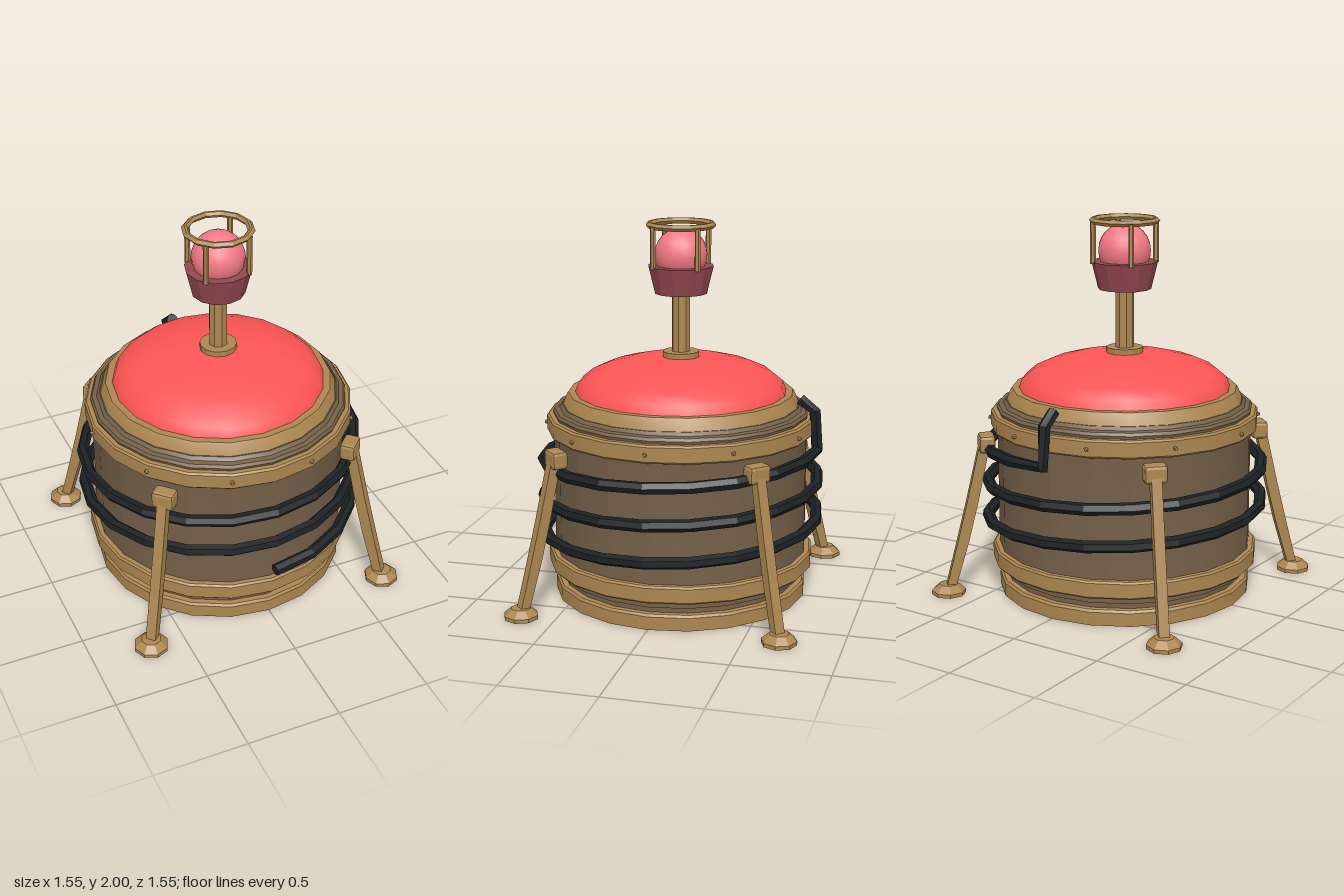
import * as THREE from 'three';
import { toCreasedNormals } from 'three/addons/utils/BufferGeometryUtils.js';
import { RoundedBoxGeometry } from 'three/addons/geometries/RoundedBoxGeometry.js';

const SIDES = 20;
const paint = (color, flatShading = false) => new THREE.MeshStandardMaterial({ color, flatShading });
const brass = paint(0xac8750);
const brassFlat = paint(0xac8750, true);
const brown = paint(0x756149);
const red = paint(0xff5555);
const rubber = paint(0x1c2124, true);
const cupRed = paint(0x934850, true);
const bulbPink = paint(0xf47a85);
rubber.side = THREE.DoubleSide;

// Straight-segment path whose corners fall exactly on the tube rings
class Polyline extends THREE.Curve {
  constructor(points) { super(); this.points = points; }
  getPoint(t, target = new THREE.Vector3()) {
    const n = this.points.length - 1;
    const i = Math.min(Math.floor(t * n + 1e-6), n - 1);
    return target.lerpVectors(this.points[i], this.points[i + 1], t * n - i);
  }
  getPointAt(t, target) { return this.getPoint(t, target); }
  getTangentAt(t, target) { return this.getTangent(t, target); }
}

export function createModel() {
  const model = new THREE.Group();

  function add(name, geometry, material, x = 0, y = 0, z = 0, parent = model) {
    const mesh = new THREE.Mesh(geometry, material);
    mesh.name = name;
    mesh.position.set(x, y, z);
    parent.add(mesh);
    return mesh;
  }

  function turned(name, profile, material) {
    const points = profile.map(([r, y]) => new THREE.Vector2(r, y));
    return add(name, toCreasedNormals(new THREE.LatheGeometry(points, SIDES), 0.42), material);
  }

  // Tank: brown core with brass base, bands and rim
  turned('tankBody', [[0.64, 0.07], [0.64, 0.11], [0.66, 0.115], [0.66, 0.145], [0.68, 0.16], [0.68, 0.985],
    [0.685, 1.0], [0.675, 1.015], [0.65, 1.02], [0.635, 1.037], [0.56, 1.04]], brown);
  turned('base', [[0, 0], [0.68, 0], [0.68, 0.07], [0.67, 0.083], [0.6, 0.083]], brass);
  for (const [name, y0, y1] of [['lowerBand', 0.155, 0.248], ['upperBand', 0.89, 0.985]]) {
    turned(name, [[0.66, y0], [0.705, y0], [0.715, y0 + 0.01], [0.715, y1 - 0.01], [0.705, y1], [0.66, y1]], brass);
  }
  turned('rim', [[0.6, 1.035], [0.63, 1.035], [0.607, 1.09], [0.6, 1.1], [0.54, 1.1]], brass);

  // Shallow dome
  const domeProfile = [];
  for (let i = 0; i <= 6; i++) {
    const a = (i / 6) * Math.PI / 2;
    domeProfile.push(new THREE.Vector2(0.565 * Math.cos(a), 1.095 + 0.195 * Math.sin(a)));
  }
  add('dome', new THREE.LatheGeometry(domeProfile, SIDES), red);

  // Bolts around the upper band
  const boltGeometry = new THREE.CylinderGeometry(0.008, 0.014, 0.02, 6).rotateX(Math.PI / 2);
  for (let i = 0; i < 10; i++) {
    const a = (18 + 36 * i) * Math.PI / 180;
    add('bolt', boltGeometry, brassFlat, 0.718 * Math.sin(a), 0.937, 0.718 * Math.cos(a)).rotation.y = a;
  }

  // Hose: two and a half turns, then a bent end reaching over the rim at the back
  const path = [];
  for (let i = 0; i <= 50; i++) {
    const a = (i / SIDES) * Math.PI * 2;
    path.push(new THREE.Vector3(0.74 * Math.sin(a), 0.332 + 0.49 * i / 50, 0.74 * Math.cos(a)));
  }
  path.push(new THREE.Vector3(0, 1.03, -0.725), new THREE.Vector3(0, 1.09, -0.645));
  add('hose', new THREE.TubeGeometry(new Polyline(path), path.length - 1, 0.032, 6), rubber);
  for (const [end, before] of [[path[0], path[1]], [path.at(-1), path.at(-2)]]) {
    const cap = add('hoseEnd', new THREE.CircleGeometry(0.032, 6), rubber, end.x, end.y, end.z);
    cap.lookAt(end.clone().multiplyScalar(2).sub(before));
  }

  // Four splayed legs with brackets and feet
  const legShape = new THREE.Shape([[0.93, 0.03], [0.98, 0.03], [0.91, 0.3], [0.855, 0.52], [0.785, 0.82],
    [0.73, 0.82], [0.795, 0.52], [0.85, 0.3]].map(([r, y]) => new THREE.Vector2(r, y)));
  const legGeometry = new THREE.ExtrudeGeometry(legShape, { depth: 0.054, bevelEnabled: false })
    .translate(0, 0, -0.027).rotateY(-Math.PI / 2);
  const bracketGeometry = new RoundedBoxGeometry(0.12, 0.095, 0.085, 1, 0.018);
  const footGeometry = new THREE.CylinderGeometry(0.052, 0.092, 0.035, 8);
  const solePlate = new THREE.CylinderGeometry(0.092, 0.092, 0.02, 8);
  for (let i = 0; i < 4; i++) {
    const leg = new THREE.Group();
    leg.name = 'leg';
    leg.rotation.y = Math.PI / 4 + i * Math.PI / 2;
    add('strut', legGeometry, brassFlat, 0, 0, 0, leg);
    add('bracket', bracketGeometry, brassFlat, 0, 0.827, 0.745, leg);
    add('foot', footGeometry, brassFlat, 0, 0.0375, 0.965, leg);
    add('sole', solePlate, brassFlat, 0, 0.01, 0.965, leg);
    model.add(leg);
  }

  // Lamp on a post, with a wire cage
  add('postBase', new THREE.CylinderGeometry(0.098, 0.098, 0.04, 12), brassFlat, 0, 1.295, 0);
  add('post', new THREE.CylinderGeometry(0.05, 0.05, 0.36, 8), brassFlat, 0, 1.47, 0);
  add('lampCup', new THREE.CylinderGeometry(0.175, 0.14, 0.145, 12), cupRed, 0, 1.698, 0);
  add('bulb', new THREE.SphereGeometry(0.14, 16, 12), bulbPink, 0, 1.828, 0);
  const ringProfile = [[0.148, 1.985], [0.16, 1.968], [0.172, 1.968], [0.187, 1.985], [0.172, 2], [0.16, 2], [0.148, 1.985]];
  add('cageRing', new THREE.LatheGeometry(ringProfile.map(([r, y]) => new THREE.Vector2(r, y)), 12), brassFlat);
  for (let i = 0; i < 4; i++) {
    const a = Math.PI / 4 + i * Math.PI / 2;
    add('cageBar', new THREE.CylinderGeometry(0.015, 0.015, 0.22, 6), brassFlat,
      0.168 * Math.sin(a), 1.87, 0.168 * Math.cos(a));
  }
  return model;
}
